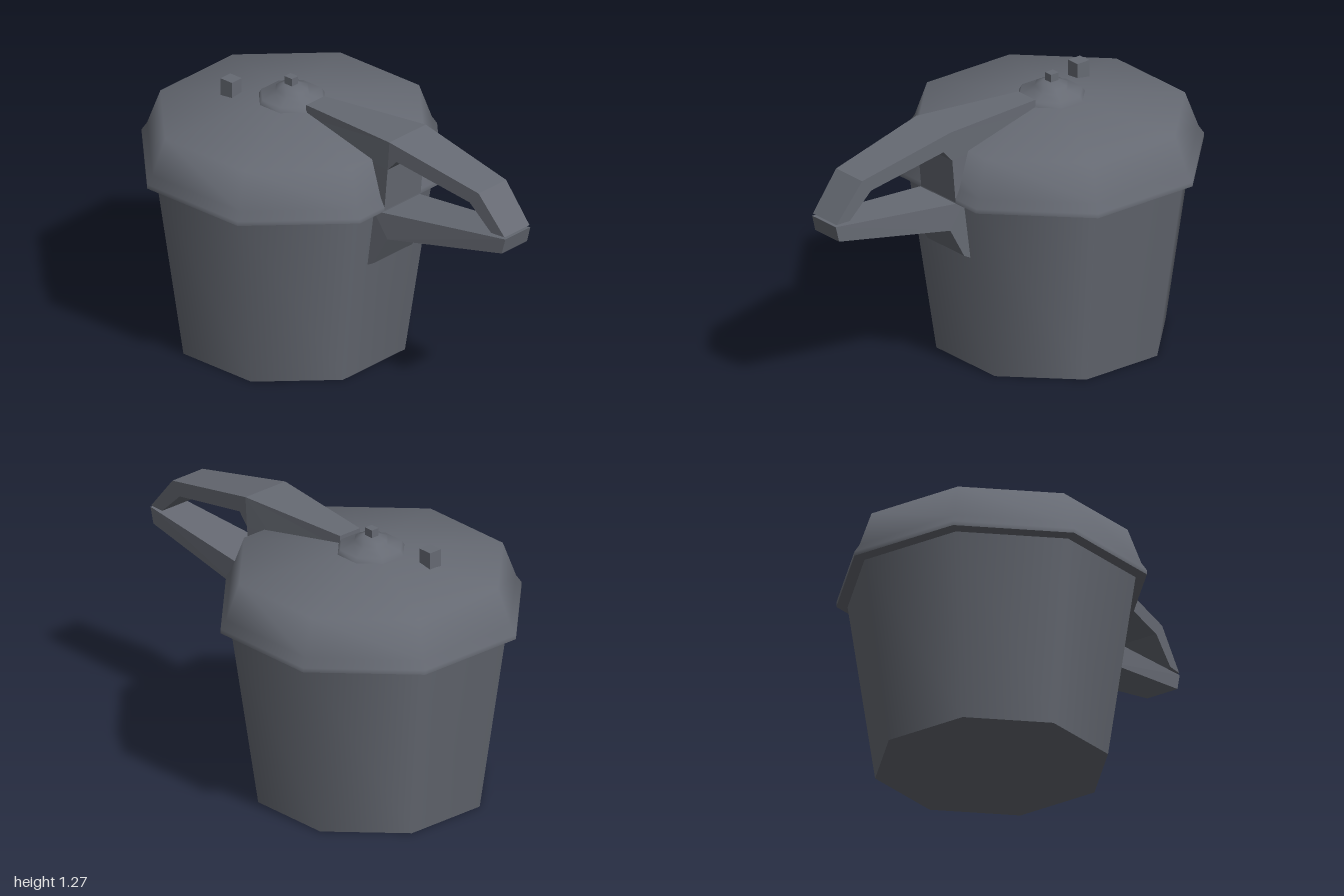
import * as THREE from 'three';

const CENTRE_X = -0.34;
const APOTHEM = 1 / Math.cos(Math.PI / 8);

export function createModel() {
  const model = new THREE.Group();
  model.name = 'pressureCooker';
  const metal = new THREE.MeshStandardMaterial({ color: 0x666a73 });
  metal.name = 'slate grey metal';

  function add(name, geometry) {
    const mesh = new THREE.Mesh(geometry, metal);
    mesh.name = name;
    model.add(mesh);
    return mesh;
  }

  // Eight-sided turned part: [distance to flat, height], bottom to top
  function turned(name, profile) {
    const points = profile.map(([r, y]) => new THREE.Vector2(r * APOTHEM, y));
    const mesh = add(name, new THREE.LatheGeometry(points, 8, Math.PI / 8));
    mesh.position.x = CENTRE_X;
  }

  // Flat eight-sided closing disc
  function disc(name, r, y, up) {
    const mesh = add(name, new THREE.CircleGeometry(r * APOTHEM, 8, Math.PI / 8));
    mesh.rotation.x = up ? -Math.PI / 2 : Math.PI / 2;
    mesh.position.set(CENTRE_X, y, 0);
  }

  function block(name, w, h, d, x, y, z) {
    add(name, new THREE.BoxGeometry(w, h, d)).position.set(x, y, z);
  }

  // Side outline extruded, its width following stations of [x, back z, front z]
  function handle(name, outline, stations) {
    const shape = new THREE.Shape(outline.map(([x, y]) => new THREE.Vector2(x, y)));
    const geometry = new THREE.ExtrudeGeometry(shape, { depth: 1, bevelEnabled: false });
    const p = geometry.attributes.position;
    for (let i = 0; i < p.count; i++) {
      const x = p.getX(i);
      let s = 0;
      while (s < stations.length - 2 && x > stations[s + 1][0]) s++;
      const a = stations[s], b = stations[s + 1];
      const t = THREE.MathUtils.clamp((x - a[0]) / (b[0] - a[0]), 0, 1);
      const side = p.getZ(i) > 0.5 ? 2 : 1;
      p.setZ(i, THREE.MathUtils.lerp(a[side], b[side], t));
    }
    geometry.computeVertexNormals();
    add(name, geometry);
  }

  // Pot
  turned('potWall', [[0.495, 0], [0.612, 0.857]]);
  disc('potBase', 0.495, 0, false);
  disc('potMouth', 0.612, 0.857, true);

  // Lid with flared rim
  turned('lid', [[0.66, 0.865], [0.66, 0.886], [0.636, 0.925], [0.578, 1.095], [0.14, 1.165], [0, 1.165]]);
  disc('lidUnderside', 0.66, 0.865, false);

  // Stepped centre cap and its pin
  turned('centreCap', [[0.147, 1.163], [0.135, 1.185], [0.075, 1.2], [0.07, 1.222], [0.035, 1.236], [0, 1.236]]);
  block('centrePin', 0.045, 0.05, 0.04, -0.345, 1.248, 0);

  // Pressure valve
  block('valve', 0.07, 0.09, 0.065, -0.6, 1.175, 0.12);

  // Lid handle, running from the centre cap to the tip
  handle('lidHandle', [
    [-0.2, 1.14], [0.2, 1.08], [0.25, 0.87], [0.32, 0.87], [0.34, 1.08], [0.39, 1.135],
    [0.8, 1.06], [0.92, 0.945], [0.995, 0.945], [0.85, 1.12], [0.35, 1.22], [-0.2, 1.2],
  ], [[-0.2, -0.06, 0.06], [0.33, -0.13, 0.113], [1, -0.11, 0.055]]);

  // Pot handle below it
  handle('potHandle', [
    [0.225, 0.57], [0.27, 0.595], [0.35, 0.74], [0.98, 0.86], [1, 0.936], [0.27, 0.857],
  ], [[0.2, -0.128, 0.13], [0.35, -0.128, 0.125], [1, -0.11, 0.055]]);

  return model;
}
